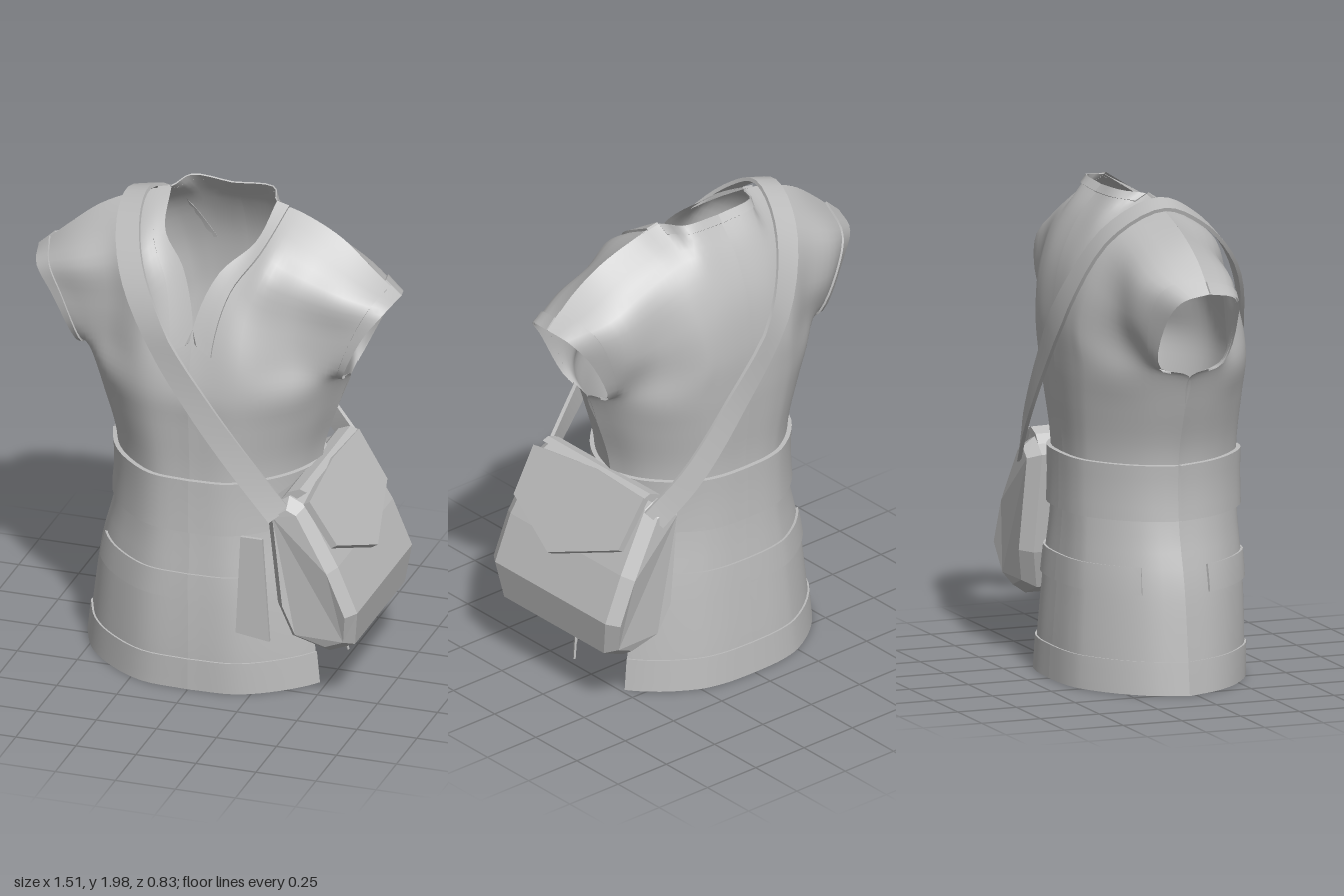
import * as THREE from 'three';
import { toCreasedNormals } from 'three/addons/utils/BufferGeometryUtils.js';

const cloth = new THREE.MeshStandardMaterial({ color: 0xbdbdbd, side: THREE.DoubleSide });
cloth.name = 'greyCloth';
const V = (x, y, z) => new THREE.Vector3(x, y, z);

// Tunic levels from hem to underarm: height, half width, front depth, back depth
const LEVELS = [
  [0.02, 0.545, 0.36, -0.4], [0.2, 0.525, 0.365, -0.39], [0.45, 0.49, 0.36, -0.37],
  [0.7, 0.43, 0.345, -0.35], [0.95, 0.43, 0.345, -0.35], [1.15, 0.49, 0.36, -0.37], [1.3, 0.545, 0.37, -0.385],
];
// Cross-section shape as fractions of width and depth
const FRONT_SHAPE = [[0, 1], [0.37, 0.95], [0.7, 0.66], [0.88, 0.37], [1, 0]];
const BACK_SHAPE = [[0, 1], [0.2, 0.99], [0.32, 0.965], [0.45, 0.91], [0.7, 0.68], [0.89, 0.38], [1, 0]];
// Chest and shoulder rows, from the centre line or neckline out to the armhole
const CHEST = [
  [[0, 1.56, 0.3], [0.2, 1.45, 0.33], [0.38, 1.42, 0.2], [0.5, 1.38, 0.14], [0.552, 1.35, 0.1]],
  [[0.075, 1.77, 0.2], [0.21, 1.64, 0.26], [0.38, 1.57, 0.18], [0.53, 1.55, 0.145], [0.65, 1.55, 0.125]],
  [[0.19, 1.87, 0.085], [0.27, 1.81, 0.175], [0.4, 1.74, 0.15], [0.56, 1.69, 0.14], [0.72, 1.64, 0.09]],
  [[0.22, 1.98, -0.08], [0.34, 1.95, -0.07], [0.5, 1.88, -0.05], [0.63, 1.78, -0.03], [0.75, 1.67, -0.03]],
];
const SHOULDERS = [
  [[0, 1.5, -0.39], [0.1, 1.48, -0.39], [0.16, 1.47, -0.385], [0.23, 1.45, -0.37], [0.38, 1.42, -0.27], [0.5, 1.38, -0.2], [0.552, 1.35, -0.16]],
  [[0, 1.7, -0.36], [0.11, 1.69, -0.36], [0.18, 1.67, -0.355], [0.26, 1.64, -0.34], [0.39, 1.57, -0.28], [0.53, 1.55, -0.25], [0.65, 1.55, -0.17]],
  [[0, 1.87, -0.28], [0.14, 1.87, -0.275], [0.21, 1.86, -0.26], [0.29, 1.83, -0.25], [0.42, 1.77, -0.235], [0.57, 1.7, -0.22], [0.72, 1.64, -0.13]],
  [[0, 1.985, -0.18], [0.17, 1.995, -0.175], [0.22, 1.98, -0.08], [0.34, 1.95, -0.07], [0.5, 1.88, -0.05], [0.63, 1.78, -0.03], [0.75, 1.67, -0.03]],
];

// Half of the tunic as a smooth surface: u runs outward, v runs from hem to shoulder
function makeSurface(shape, upper, depthIndex) {
  const side = -0.03;
  const lower = LEVELS.map(l => shape.map(([fx, fz]) => [fx * l[1], l[0], side + fz * (l[depthIndex] - side)]));
  const rows = [...lower, ...upper].map(r => new THREE.CatmullRomCurve3(r.map(p => V(...p))));
  return (u, v) => {
    const p = new THREE.CatmullRomCurve3(rows.map(r => r.getPoint(u))).getPoint(v);
    p.x = Math.max(0, p.x);
    return p;
  };
}
// slit is where the skirt stops on the side that is open under the satchel
const front = { at: makeSurface(FRONT_SHAPE, CHEST, 2), out: 1, slit: 0.71 };
const back = { at: makeSurface(BACK_SHAPE, SHOULDERS, 3), out: -1, slit: 0.82 };

function gridGeometry(points, nu, nv, flip) {
  const index = [];
  for (let j = 0; j < nv - 1; j++) for (let i = 0; i < nu - 1; i++) {
    const a = j * nu + i, b = a + 1, c = a + nu, d = c + 1;
    index.push(...(flip ? [a, c, b, b, c, d] : [a, b, c, b, d, c]));
  }
  const g = new THREE.BufferGeometry().setFromPoints(points);
  g.setIndex(index);
  return g;
}

// A piece of the surface; a raised one gets rims that fold back to the cloth
function patch(half, mirror, [u0, u1], [v0, v1], nu, nv, raise = 0) {
  const steps = (a, b, n) => Array.from({ length: n + 1 }, (_, i) => a + (b - a) * i / n);
  let us = steps(u0, u1, nu), vs = steps(v0, v1, nv);
  if (raise) {
    if (u0 > 0) us = [u0, ...us];
    if (u1 < 1) us = [...us, u1];
    vs = [v0, ...vs, v1];
  }
  const pts = [];
  vs.forEach((v, j) => us.forEach((u, i) => {
    const p = half.at(u, v);
    const rim = j === 0 || j === vs.length - 1 || (i === 0 && u0 > 0) || (i === us.length - 1 && u1 < 1);
    if (raise && !rim) {
      const e = 0.004, lim = x => Math.min(1, Math.max(0, x));
      const du = half.at(lim(u + e), v).sub(half.at(lim(u - e), v));
      const dv = half.at(u, lim(v + e)).sub(half.at(u, lim(v - e)));
      p.addScaledVector(du.cross(dv).normalize(), raise * half.out);
      if (u === 0 && v < 0.6) p.x = 0;
    }
    p.x *= mirror;
    pts.push(p);
  }));
  const g = gridGeometry(pts, us.length, vs.length, half.out * mirror < 0);
  if (raise) return toCreasedNormals(g, 0.7);
  g.computeVertexNormals();
  return g;
}

// Flat ribbon with thickness along a path
function strapGeometry(path, width, thick) {
  const curve = new THREE.CatmullRomCurve3(path.map(p => V(...p)));
  const n = 48, pts = [];
  for (let i = 0; i <= n; i++) {
    const p = curve.getPoint(i / n), t = curve.getTangent(i / n);
    const out = V(p.x * 0.5, Math.max(0, p.y - 1.5) * 1.5, p.z).normalize();
    const side = t.clone().cross(out).normalize();
    out.crossVectors(side, t).normalize();
    for (const [s, o] of [[-1, 0], [-1, 1], [1, 1], [1, 0], [-1, 0]])
      pts.push(p.clone().addScaledVector(side, s * width / 2).addScaledVector(out, o * thick));
  }
  return toCreasedNormals(gridGeometry(pts, 5, n + 1, true), 0.7);
}

const outline = pts => new THREE.Shape(pts.map(p => new THREE.Vector2(...p)));

export function createModel() {
  const model = new THREE.Group();
  const add = (name, geometry, parent = model) => {
    const m = new THREE.Mesh(geometry, cloth);
    m.name = name;
    parent.add(m);
    return m;
  };

  // Tunic shell and its raised bands; the skirt is slit open on the left
  for (const [side, mirror] of [['left', 1], ['right', -1]]) {
    const tunic = new THREE.Group();
    tunic.name = side + 'Tunic';
    model.add(tunic);
    for (const [face, half] of [['Front', front], ['Back', back]]) {
      const edge = side === 'left' ? half.slit : 1;
      add('bodice' + face, patch(half, mirror, [0, 1], [0.3, 1], 24, 32), tunic);
      add('skirt' + face, patch(half, mirror, [0, edge], [0, 0.3], 20, 12), tunic);
      add('hem' + face, patch(half, mirror, [0, edge], [0, 0.075], 16, 3, 0.008), tunic);
      add('fold' + face, patch(half, mirror, [0, edge * 0.8], [0.185, 0.228], 16, 2, 0.01), tunic);
      add('belt' + face, patch(half, mirror, [0, 1], [0.3, 0.39], 16, 4, 0.018), tunic);
      add('cuff' + face, patch(half, mirror, [0.91, 1], [0.66, 1], 2, 16, 0.008), tunic);
    }
    add('collarFront', patch(front, mirror, [0, 0.11], [0.68, 1], 3, 16, 0.01), tunic);
    add('collarBack', patch(back, mirror, [0, 0.33], [0.975, 1], 8, 2, 0.006), tunic);
  }

  // Shoulder strap from the satchel over the right shoulder and down the back
  add('strap', strapGeometry([
    [0.38, 0.84, 0.37], [0.2, 1.07, 0.385], [0.05, 1.27, 0.385], [-0.12, 1.5, 0.35], [-0.27, 1.73, 0.24],
    [-0.34, 1.89, 0.08], [-0.345, 1.955, -0.07], [-0.28, 1.845, -0.26], [-0.14, 1.57, -0.385],
    [0.1, 1.25, -0.395], [0.3, 1.0, -0.375], [0.46, 0.84, -0.33],
  ], 0.1, 0.015));

  // Hanging belt end
  const tail = add('beltTail', new THREE.ExtrudeGeometry(
    outline([[0.22, 0.72], [0.2, 0.3], [0.34, 0.28], [0.31, 0.72]]), { depth: 0.015, bevelEnabled: false }));
  tail.position.z = 0.355;

  // Satchel body, narrowing towards its base and slightly towards its top
  const satchel = new THREE.Group();
  satchel.name = 'satchel';
  model.add(satchel);
  const bagGeometry = new THREE.ExtrudeGeometry(outline([
    [0.32, 0.85], [0.37, 0.45], [0.42, 0.3], [0.57, 0.25], [0.68, 0.3], [0.7, 0.45], [0.62, 0.64], [0.48, 0.88], [0.41, 0.91],
  ]), { depth: 0.67, bevelThickness: 0.05, bevelSize: 0.035, bevelOffset: -0.035, bevelSegments: 1 });
  bagGeometry.translate(0, 0, -0.335);
  const bagPoints = bagGeometry.attributes.position;
  for (let i = 0; i < bagPoints.count; i++) {
    const y = bagPoints.getY(i);
    const narrow = Math.max(0, 0.42 - y) * 0.8 + Math.max(0, y - 0.7) * 0.3;
    bagPoints.setZ(i, bagPoints.getZ(i) * (1 - narrow));
  }
  bagGeometry.computeVertexNormals();
  add('bagBody', bagGeometry, satchel).position.z = 0.015;

  // Pointed flap lying on the sloping outer face
  const flap = add('bagFlap', new THREE.ExtrudeGeometry(outline([
    [-0.35, -0.04], [-0.34, -0.25], [-0.05, -0.385], [0.29, -0.24], [0.3, -0.01], [0, 0],
  ]), { depth: 0.03, bevelEnabled: false }), satchel);
  const up = V(-0.53, 0.85, 0).normalize(), out = V(0.85, 0.53, 0).normalize();
  flap.quaternion.setFromRotationMatrix(new THREE.Matrix4().makeBasis(V(0, 0, -1), up, out));
  flap.position.set(0.455, 0.925, 0);

  // Flap hinge covering the top of the bag
  const hinge = add('bagTop', new THREE.ExtrudeGeometry(
    outline([[0.36, 0.87], [0.43, 0.89], [0.455, 0.91], [0.48, 0.93], [0.45, 0.94], [0.4, 0.92]]),
    { depth: 0.62, bevelEnabled: false }), satchel);
  hinge.position.z = -0.3;

  return model;
}
